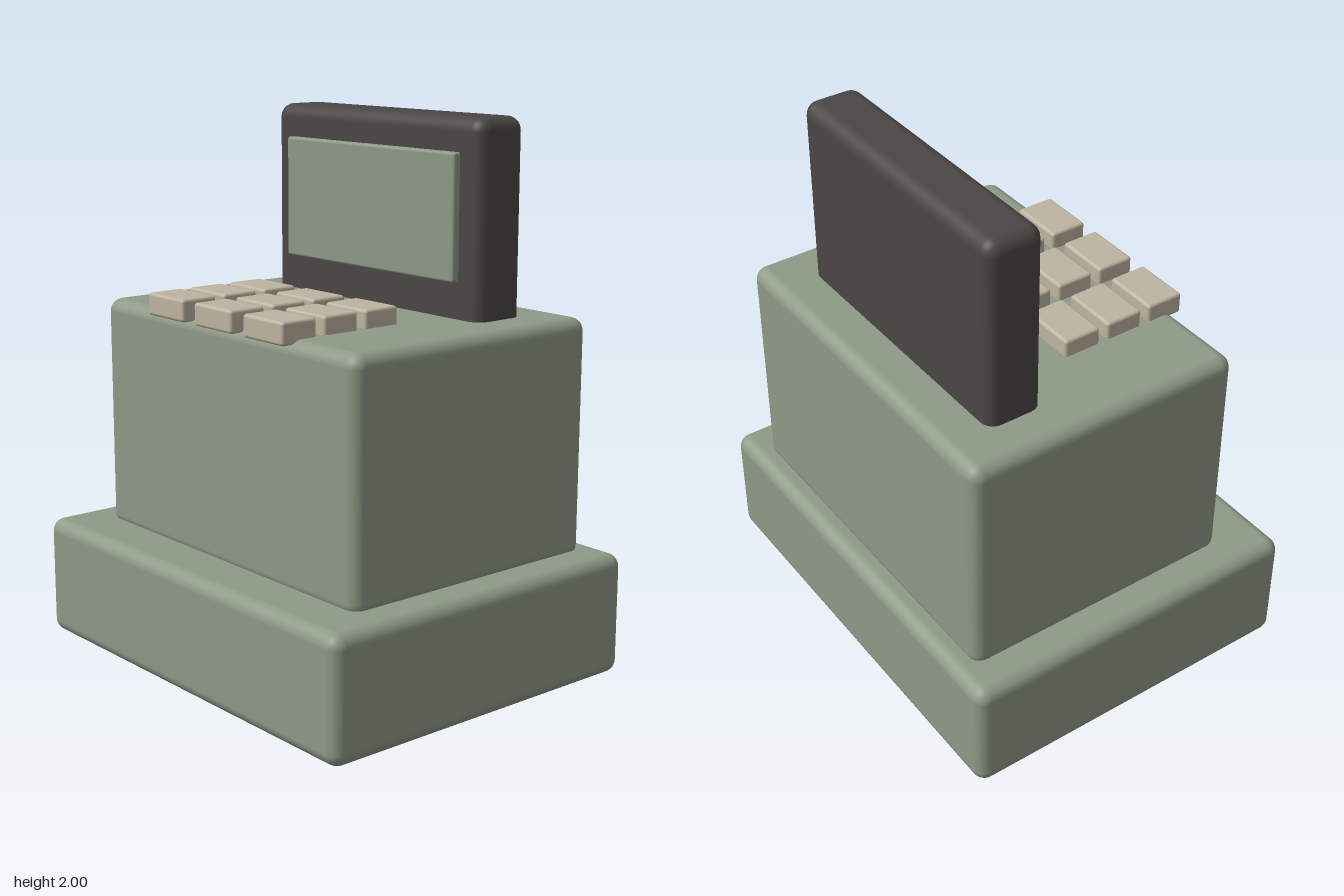
import * as THREE from 'three';
import { RoundedBoxGeometry } from 'three/addons/geometries/RoundedBoxGeometry.js';

function material(name, color) {
  const m = new THREE.MeshStandardMaterial({ color });
  m.name = name;
  return m;
}

export function createModel() {
  const model = new THREE.Group();
  model.name = 'cashRegister';

  const green = material('sage green', 0x8f9a87);
  const dark = material('charcoal', 0x4b4646);
  const beige = material('beige', 0xbfb4a1);

  // Rounded box given by its extents on each axis
  function block(name, mat, [x0, x1], [y0, y1], [z0, z1], radius, parent = model) {
    const geometry = new RoundedBoxGeometry(x1 - x0, y1 - y0, z1 - z0, 4, radius);
    const mesh = new THREE.Mesh(geometry, mat);
    mesh.position.set((x0 + x1) / 2, (y0 + y1) / 2, (z0 + z1) / 2);
    mesh.name = name;
    parent.add(mesh);
    return mesh;
  }

  // Drawer base and upper body
  block('drawerBase', green, [-0.855, 0.855], [0, 0.45], [-0.677, 0.677], 0.05);
  block('body', green, [-0.718, 0.718], [0.42, 1.3], [-0.6, 0.48], 0.05);

  // Upright display with its screen plate
  block('displayHousing', dark, [-0.558, 0.558], [1.24, 2], [-0.43, -0.212], 0.05);
  block('screen', green, [-0.457, 0.457], [1.43, 1.88], [-0.222, -0.184], 0.01);

  // Three by three keypad, front row overhanging the body
  const keypad = new THREE.Group();
  keypad.name = 'keypad';
  model.add(keypad);
  for (const z of [0.078, 0.258, 0.438]) {
    for (const x of [-0.28, 0, 0.28]) {
      block('key', beige, [x - 0.108, x + 0.108], [1.283, 1.365], [z - 0.073, z + 0.073], 0.012, keypad);
    }
  }

  return model;
}
